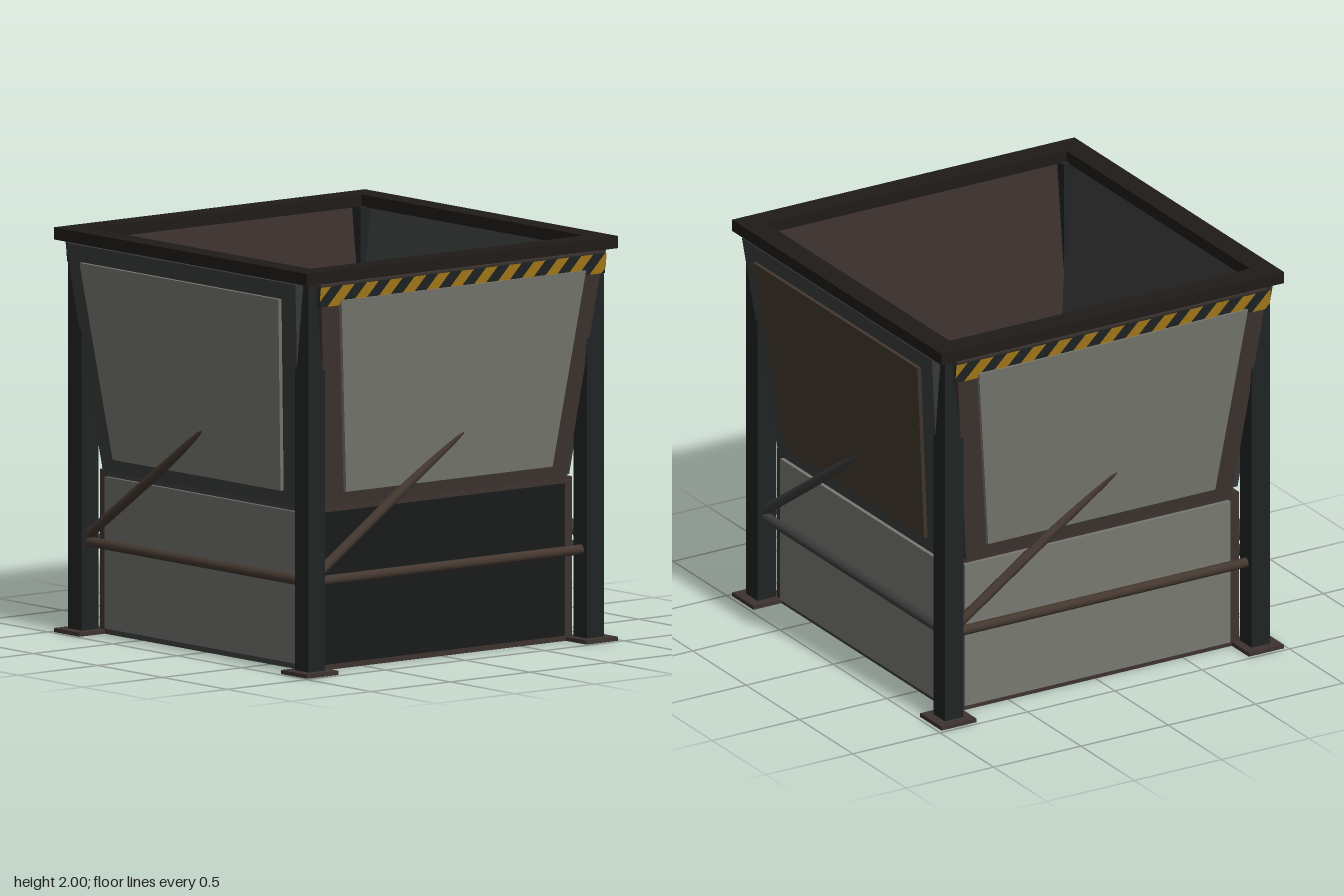
import * as THREE from 'three';

const mat = (color) => new THREE.MeshStandardMaterial({ color, roughness: 0.8 });
const BLACK = mat(0x202323), RIM = mat(0x1f1b18), BROWN = mat(0x3d3330), STEEL = mat(0x3a3b3b);
const LIGHT = mat(0x777870), DARK = mat(0x181b1a), RUST = mat(0x43372f), YELLOW = mat(0xa67a1a);

// Lean of the flared walls and their outer face depth at height y
const LEAN = 0.115, FLARE_Y = 0.81;
const outerZ = (y) => 0.85 + LEAN * (y - FLARE_Y);

function add(parent, name, geometry, material, x = 0, y = 0, z = 0) {
  const mesh = new THREE.Mesh(geometry, material);
  mesh.name = name;
  mesh.position.set(x, y, z);
  parent.add(mesh);
  return mesh;
}

// Box given by its limits on each axis
function block(parent, name, material, [x0, x1], [y0, y1], [z0, z1]) {
  return add(parent, name, new THREE.BoxGeometry(x1 - x0, y1 - y0, z1 - z0), material,
    (x0 + x1) / 2, (y0 + y1) / 2, (z0 + z1) / 2);
}

// Trapezoid slab that follows the lean of the flared wall
function leaningSlab(y0, y1, half0, half1, back, front) {
  const g = new THREE.BoxGeometry(2, 1, 1);
  const p = g.attributes.position;
  for (let i = 0; i < p.count; i++) {
    const t = p.getY(i) + 0.5;
    const y = y0 + (y1 - y0) * t;
    const half = half0 + (half1 - half0) * t;
    p.setXYZ(i, p.getX(i) * half, y, outerZ(y) + (p.getZ(i) > 0 ? front : back));
  }
  g.computeVertexNormals();
  return g;
}

// Round bar between two points
function bar(parent, name, material, a, b, radius) {
  const dir = b.clone().sub(a);
  const mesh = add(parent, name, new THREE.CylinderGeometry(radius, radius, dir.length(), 16), material);
  mesh.position.copy(a).add(b).multiplyScalar(0.5);
  mesh.quaternion.setFromUnitVectors(new THREE.Vector3(0, 1, 0), dir.normalize());
}

// Black strip with slanted yellow stripes, laid on the flared wall
function hazardStrip() {
  const strip = new THREE.Group();
  strip.name = 'hazardStrip';
  const half = 0.9, y0 = 1.825, y1 = 1.925, slant = 0.09, period = 0.15;
  add(strip, 'stripBase', leaningSlab(y0, y1, half, half, -0.005, 0.008), BLACK);
  const clamp = (x) => Math.max(-half, Math.min(half, x));
  for (let i = 0; i < 13; i++) {
    const x = -half - 0.1 + i * period;
    const left = Math.max(x, -half), right = Math.min(x + period / 2, half);
    const shape = new THREE.Shape();
    const at = (px) => (px - x) / slant;
    // Corners, clipped at both ends of the strip
    const pts = [];
    const edge = (e, up) => {
      const t0 = Math.max(0, Math.min(1, (-half - e) / slant));
      const t1 = Math.max(0, Math.min(1, (half - e) / slant));
      const ends = [t0, t1].map((t) => [clamp(e + slant * t), y0 + (y1 - y0) * t]);
      pts.push(...(up ? ends : ends.reverse()));
    };
    edge(x + period / 2, true);
    if (x + period / 2 + slant > half && x + slant < half) pts.push([half, y1]);
    edge(x, false);
    if (x < -half && x + period / 2 > -half) pts.push([-half, y0]);
    pts.forEach(([px, py], k) => (k ? shape.lineTo(px, py) : shape.moveTo(px, py)));
    const g = new THREE.ShapeGeometry(shape);
    const p = g.attributes.position;
    for (let k = 0; k < p.count; k++) p.setZ(k, outerZ(p.getY(k)) + 0.011);
    g.computeVertexNormals();
    add(strip, 'yellowStripe', g, YELLOW);
  }
  return strip;
}

function buildSide({ name, wall, upper, lower, bars, striped }) {
  const side = new THREE.Group();
  side.name = name;

  // Upright lower wall with its cover panel
  block(side, 'lowerWall', wall, [-0.76, 0.82], [0, FLARE_Y], [0.76, 0.82]);
  block(side, 'lowerPanel', lower, [-0.76, 0.76], [0.03, 0.78], [0.815, 0.84]);

  // Flared upper wall with its cover panel
  add(side, 'flaredWall', leaningSlab(FLARE_Y, 1.935, 0.76, 0.89, -0.09, 0), wall);
  add(side, 'upperPanel', leaningSlab(0.88, 1.85, 0.65, 0.77, -0.005, 0.02), upper);
  if (striped) side.add(hazardStrip());

  // Cross bar and diagonal brace running into the flared wall
  const v = (x, y) => new THREE.Vector3(x, y, 0.88);
  bar(side, 'crossBar', bars, v(-0.83, 0.455), v(0.83, 0.455), 0.025);
  bar(side, 'diagonalBrace', bars, v(-0.84, 0.485), v(0.3, 1.27), 0.025);

  // Corner post with foot, and one length of the top rim
  block(side, 'cornerPost', BLACK, [0.825, 0.93], [0, 1.945], [0.825, 0.93]);
  block(side, 'footPlate', BROWN, [0.78, 0.98], [0, 0.02], [0.78, 0.98]);
  block(side, 'topRim', RIM, [-0.86, 0.98], [1.94, 2], [0.86, 0.98]);
  return side;
}

export function createModel() {
  const model = new THREE.Group();
  model.name = 'hopperBin';
  const sides = [
    { name: 'frontSide', wall: BROWN, upper: LIGHT, lower: DARK, bars: RUST, striped: true },
    { name: 'leftSide', wall: STEEL, upper: RUST, lower: LIGHT, bars: STEEL },
    { name: 'backSide', wall: BROWN, upper: LIGHT, lower: LIGHT, bars: RUST, striped: true },
    { name: 'rightSide', wall: STEEL, upper: LIGHT, lower: mat(0x6a6a67), bars: RUST },
  ];
  sides.forEach((spec, i) => {
    const side = buildSide(spec);
    side.rotation.y = (i * Math.PI) / 2;
    model.add(side);
  });
  return model;
}
